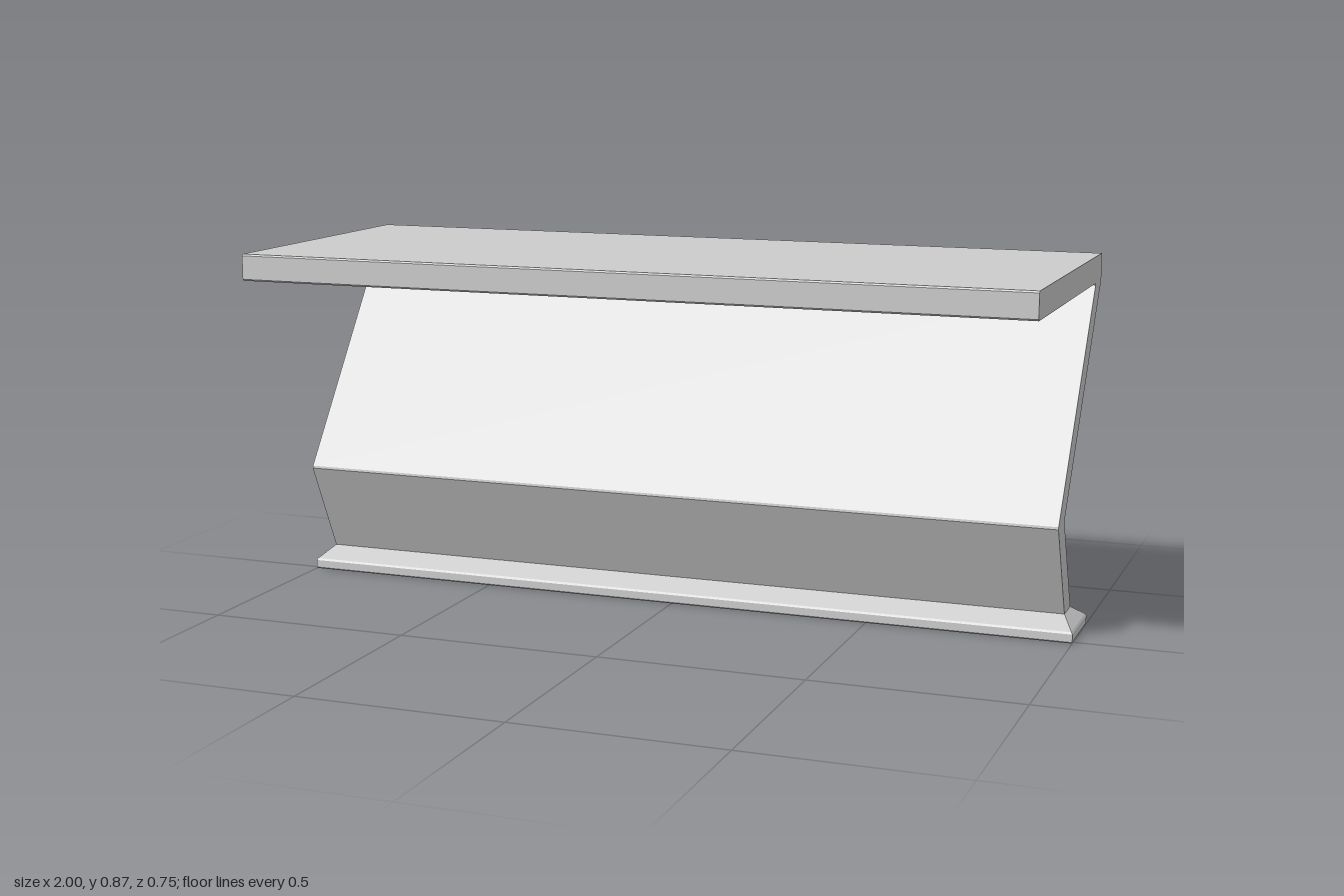
import * as THREE from 'three';

const material = new THREE.MeshStandardMaterial({ color: 0xcccccc, flatShading: true });

// Bent panel: a constant side profile, given as [z, y], extruded along x
function makePanel() {
  const c = 0.004; // tiny chamfer on the plate corners
  const profile = [
    [0.378, 0.808 + c], [0.378, 0.873 - c], [0.378 - c, 0.873],
    [-0.376 + c, 0.873], [-0.376, 0.873 - c], [-0.376, 0.808],
    [-0.373, 0.803], [-0.001, 0.291], [-0.001, 0.284], [-0.112, 0.055],
    [-0.04, 0.055], [0.071, 0.284], [0.07, 0.29],
    [-0.302, 0.803], [-0.301, 0.808], [0.378 - c, 0.808],
  ];
  const shape = new THREE.Shape(profile.map(([z, y]) => new THREE.Vector2(-z, y)));
  const geo = new THREE.ExtrudeGeometry(shape, { depth: 1.94, bevelEnabled: false });
  geo.translate(0, 0, -0.97).rotateY(Math.PI / 2);
  return geo;
}

// Hollow foot: rectangular rings [half length, front z, back z, y]
// running down the outside, across the rim and up into the recess
function makeFoot() {
  const rings = [
    [0.97, -0.04, -0.112, 0.055],
    [0.997, 0.01, -0.162, 0.027],
    [1, 0.013, -0.166, 0.022],
    [1, 0.013, -0.166, 0.003],
    [0.998, 0.011, -0.164, 0],
    [0.988, 0.001, -0.154, 0],
    [0.988, 0.001, -0.154, 0.017],
    [0.965, -0.045, -0.107, 0.043],
  ].map(([x, f, b, y]) => [[-x, y, f], [x, y, f], [x, y, b], [-x, y, b]]);

  const points = [];
  for (let k = 0; k < rings.length - 1; k++) {
    const up = rings[k], low = rings[k + 1];
    for (let i = 0; i < 4; i++) {
      const j = (i + 1) % 4;
      points.push(low[i], low[j], up[j], low[i], up[j], up[i]);
    }
  }
  // Ceiling of the recess
  const [a, b, c, d] = rings[rings.length - 1];
  points.push(a, d, c, a, c, b);

  const geo = new THREE.BufferGeometry();
  geo.setAttribute('position', new THREE.Float32BufferAttribute(points.flat(), 3));
  geo.computeVertexNormals();
  return geo;
}

export function createModel() {
  const group = new THREE.Group();
  group.name = 'bentShelfStand';
  for (const [name, geo] of [['bentPanel', makePanel()], ['foot', makeFoot()]]) {
    const mesh = new THREE.Mesh(geo, material);
    mesh.name = name;
    group.add(mesh);
  }
  return group;
}
